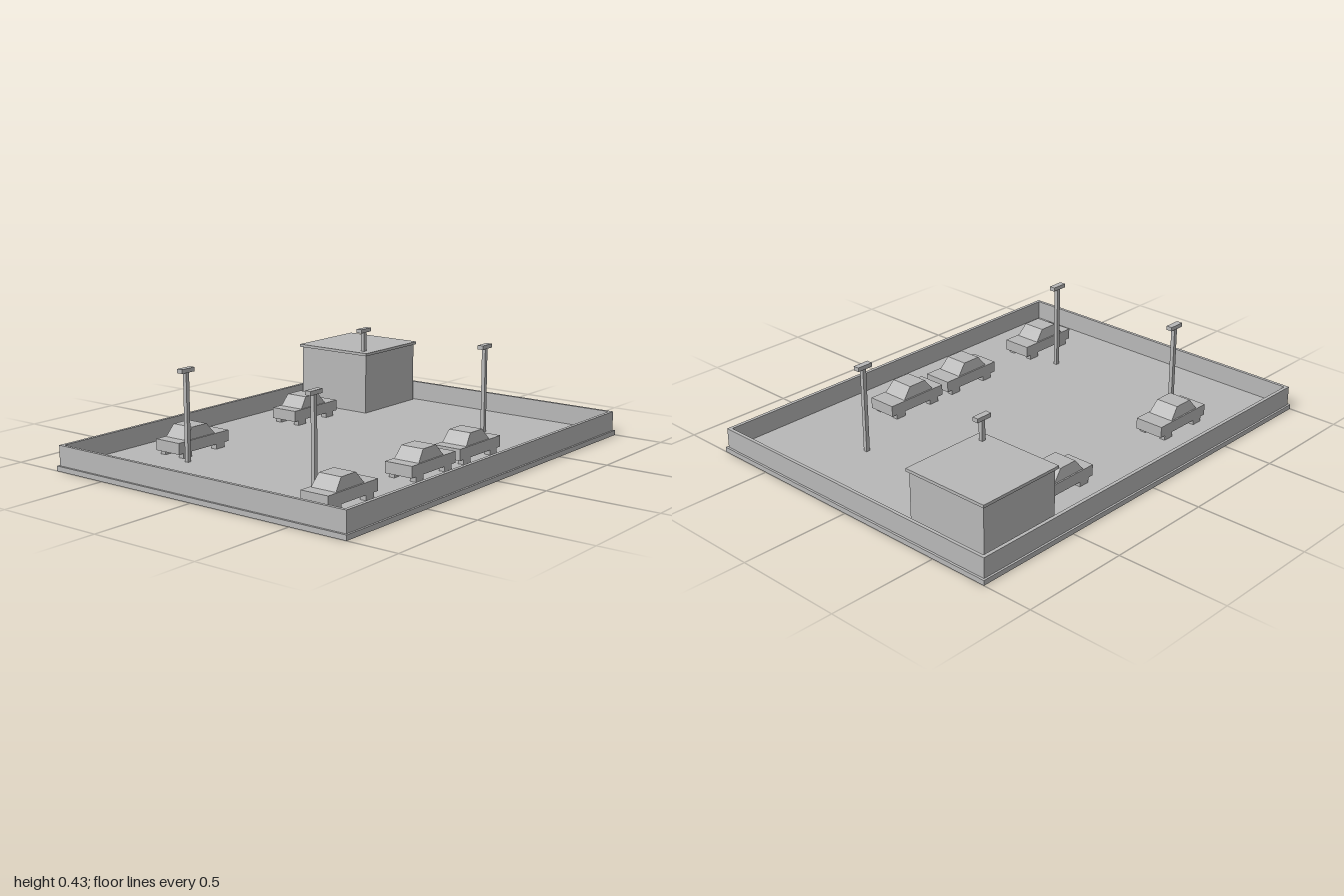
import * as THREE from 'three';

const grey = new THREE.MeshStandardMaterial({ color: 0xb8b8b8 });
grey.name = 'concreteGrey';

const FLOOR = 0.022;

// Box given by its size, centre in x and z, and bottom height
function box(parent, name, w, h, d, x, y, z) {
  const mesh = new THREE.Mesh(new THREE.BoxGeometry(w, h, d), grey);
  mesh.name = name;
  mesh.position.set(x, y + h / 2, z);
  parent.add(mesh);
  return mesh;
}

// Rectangle outline centred on the origin
function rectangle(Type, w, d) {
  return new Type([[-w, -d], [w, -d], [w, d], [-w, d]].map(([x, y]) => new THREE.Vector2(x / 2, y / 2)));
}

// Low wall round the whole lot
function perimeterWall() {
  const shape = rectangle(THREE.Shape, 1.98, 1.522);
  shape.holes.push(rectangle(THREE.Path, 1.95, 1.49));
  const geometry = new THREE.ExtrudeGeometry(shape, { depth: 0.111 - FLOOR, bevelEnabled: false });
  geometry.rotateX(-Math.PI / 2);
  const mesh = new THREE.Mesh(geometry, grey);
  mesh.name = 'perimeterWall';
  mesh.position.y = FLOOR;
  return mesh;
}

// Car with block wheels and a tapered cabin
function car(x, z) {
  const group = new THREE.Group();
  group.name = 'car';
  box(group, 'body', 0.31, 0.05, 0.135, 0, 0.022, 0);
  const cabin = box(group, 'cabin', 0.175, 0.051, 0.122, -0.0125, 0.072, 0);
  const p = cabin.geometry.attributes.position;
  for (let i = 0; i < p.count; i++) {
    if (p.getY(i) < 0) continue;
    p.setX(i, p.getX(i) > 0 ? 0.0435 : -0.0475);
    p.setZ(i, Math.sign(p.getZ(i)) * 0.054);
  }
  cabin.geometry.computeVertexNormals();
  for (const sx of [-1, 1]) {
    for (const sz of [-1, 1]) box(group, 'wheel', 0.052, 0.022, 0.028, sx * 0.102, 0, sz * 0.0535);
  }
  group.position.set(x, FLOOR, z);
  return group;
}

// Light pole with a flat lamp head
function lightPole(x, z) {
  const group = new THREE.Group();
  group.name = 'lightPole';
  box(group, 'pole', 0.018, 0.388, 0.018, 0, 0, 0);
  box(group, 'lampHead', 0.075, 0.018, 0.028, 0, 0.386, 0);
  group.position.set(x, FLOOR, z);
  return group;
}

export function createModel() {
  const model = new THREE.Group();
  model.name = 'parkingLot';
  box(model, 'baseSlab', 2, FLOOR, 1.54, 0, 0, 0);
  model.add(perimeterWall());

  // Corner building with an overhanging roof
  const building = new THREE.Group();
  building.name = 'building';
  box(building, 'buildingWalls', 0.39, 0.281, 0.39, 0.765, FLOOR, -0.538);
  box(building, 'buildingRoof', 0.41, 0.013, 0.41, 0.765, 0.303, -0.538);
  model.add(building);

  for (const x of [-0.612, 0.608]) {
    for (const z of [-0.385, 0.304]) model.add(lightPole(x, z));
  }
  for (const x of [-0.46, 0.305]) model.add(car(x, -0.502));
  for (const x of [-0.69, -0.155, 0.19]) model.add(car(x, 0.494));
  return model;
}
